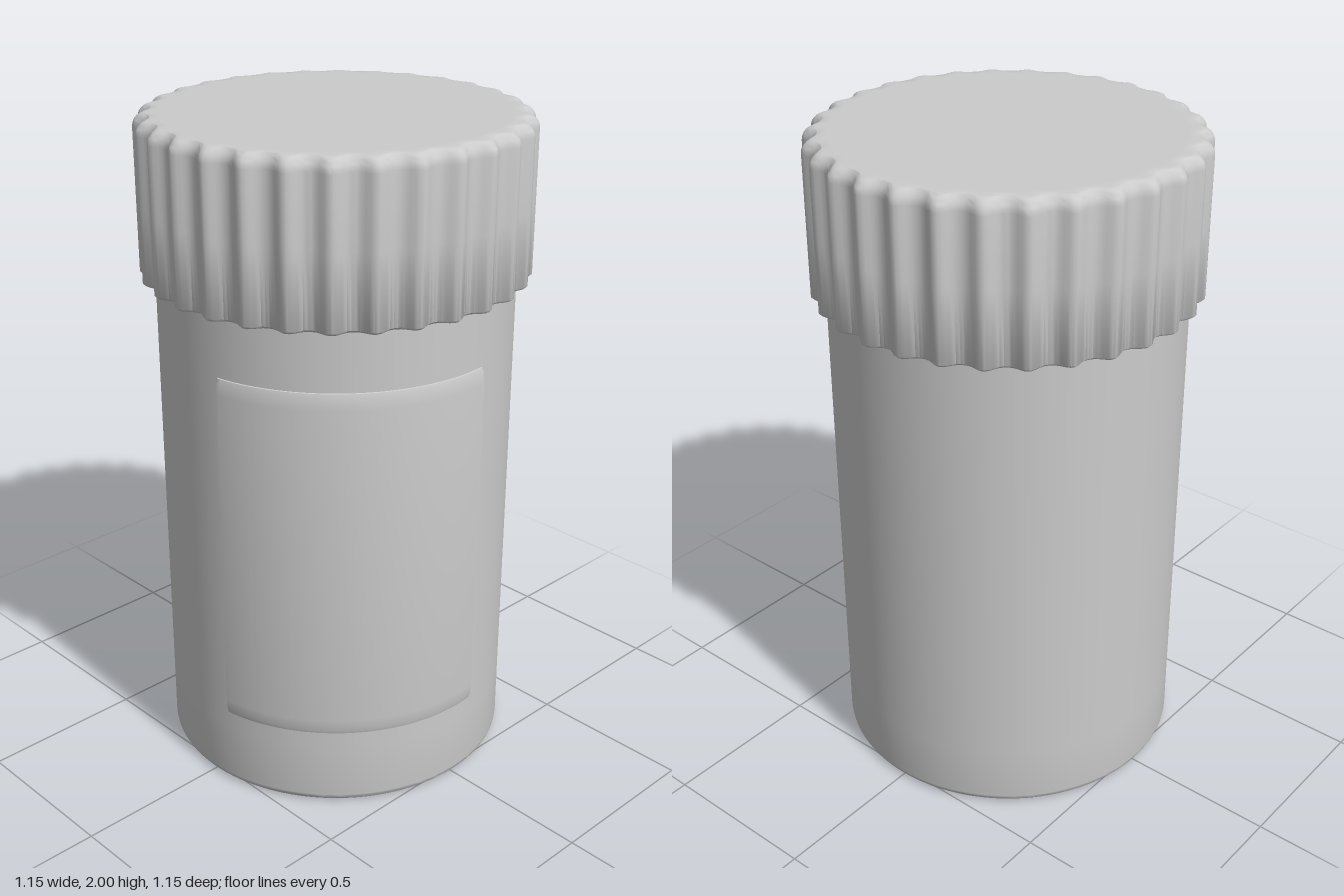
import * as THREE from 'three';
import { toCreasedNormals } from 'three/addons/utils/BufferGeometryUtils.js';

const material = new THREE.MeshStandardMaterial({ color: 0xcccccc });
const rad = THREE.MathUtils.degToRad;

function lathe(profile, segments, start = 0, sweep = Math.PI * 2) {
  return new THREE.LatheGeometry(profile.map(([r, y]) => new THREE.Vector2(r, y)), segments, start, sweep);
}

// Moves each vertex to the radius given by rule(radius, angle from +z towards +x, y)
function reshape(geometry, rule) {
  const p = geometry.attributes.position;
  for (let i = 0; i < p.count; i++) {
    const r = Math.hypot(p.getX(i), p.getZ(i));
    const a = Math.atan2(p.getX(i), p.getZ(i));
    const n = rule(r, a, p.getY(i));
    p.setXYZ(i, n * Math.sin(a), p.getY(i), n * Math.cos(a));
  }
  return geometry;
}

function mesh(name, geometry, crease = 0.75) {
  const m = new THREE.Mesh(toCreasedNormals(geometry, crease), material);
  m.name = name;
  return m;
}

// Profile points of a quarter-round edge from angle a0 to a1 (degrees)
function fillet(cx, cy, radius, a0, a1, steps = 5) {
  return Array.from({ length: steps + 1 }, (_, i) => {
    const a = rad(a0 + (a1 - a0) * i / steps);
    return [cx + radius * Math.cos(a), cy + radius * Math.sin(a)];
  });
}

export function createModel() {
  const group = new THREE.Group();
  group.name = 'jar';

  // Straight round container with a softened base edge
  const body = lathe([[0, 0], [0.47, 0], ...fillet(0.505, 0.025, 0.025, -90, 0), [0.53, 0.2], [0.53, 1.56]], 128);
  group.add(mesh('body', body));

  // Raised panel wrapping a quarter of the container, thinned to nothing at its ends
  const start = rad(7.5), sweep = rad(90), edge = rad(1);
  const panel = lathe([[0.527, 0.25], [0.533, 0.252], [0.537, 0.265], [0.54, 0.3],
    [0.54, 1.3], [0.537, 1.335], [0.533, 1.348], [0.527, 1.35]], 90, start, sweep);
  reshape(panel, (r, a) => {
    const t = Math.min(a - start, start + sweep - a) / edge;
    return THREE.MathUtils.lerp(0.527, r, THREE.MathUtils.clamp(t, 0, 1));
  });
  group.add(mesh('labelPanel', panel));

  // Screw cap with thirty narrow grip ridges and a rounded top edge
  const cap = lathe([[0, 1.527], [0.5, 1.527], [0.565, 1.527], [0.575, 1.535], [0.575, 1.75],
    ...fillet(0.535, 1.96, 0.04, 0, 90, 6), [0.5, 2], [0, 2]], 300);
  reshape(cap, (r, a) => {
    const ridge = Math.pow((1 + Math.cos(30 * (a - rad(9)))) / 2, 1.4);
    const depth = 0.027 * THREE.MathUtils.smoothstep(r, 0.515, 0.565);
    return r - depth * (1 - ridge);
  });
  group.add(mesh('cap', cap, 0.9));

  return group;
}
